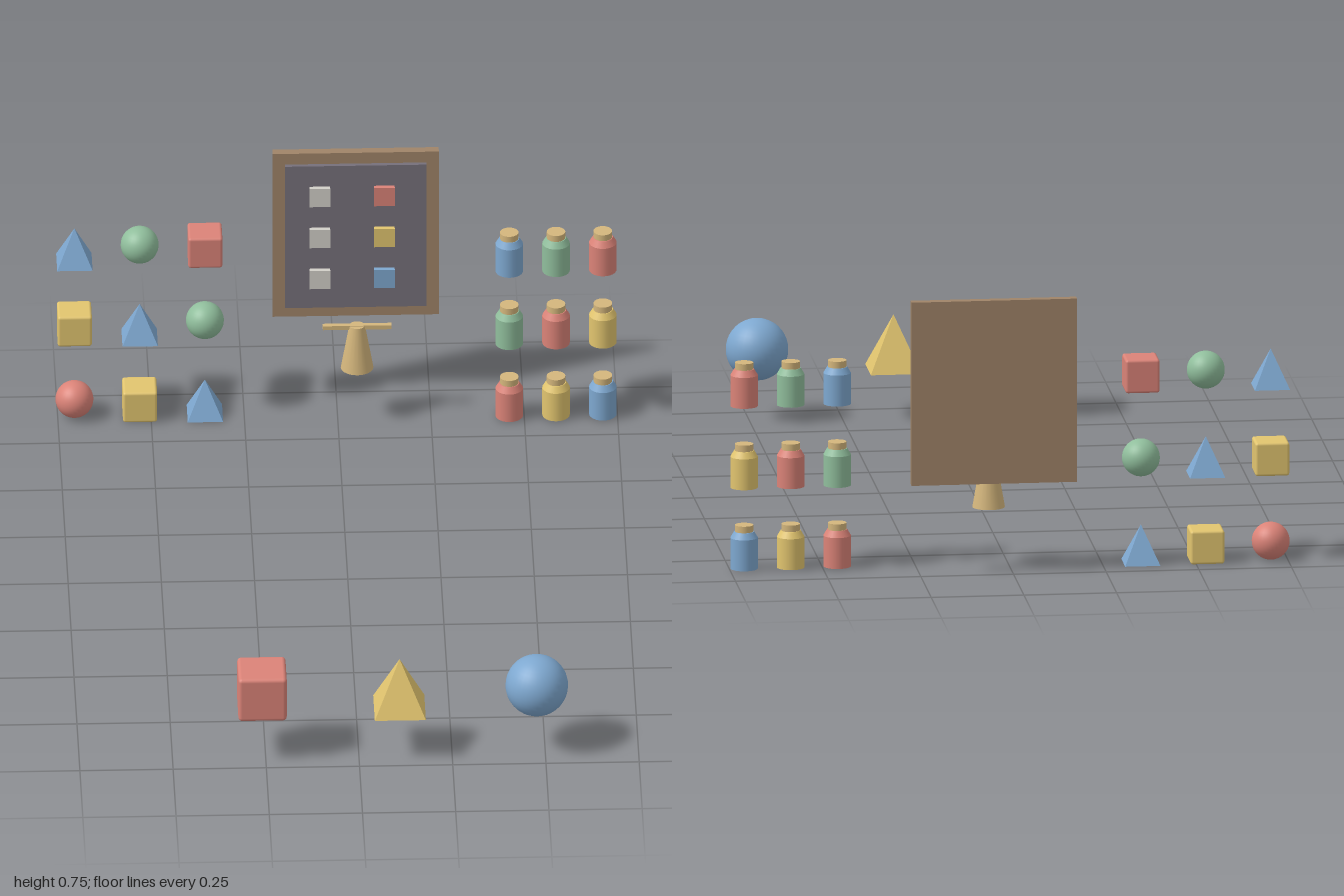
import * as THREE from 'three';
import { RoundedBoxGeometry } from 'three/addons/geometries/RoundedBoxGeometry.js';

const COLORS = {
  red: 0xdb8378, blue: 0x7ea8d0, green: 0x90be9c, yellow: 0xe2c56f,
  wood: 0xa08468, slate: 0x76707a, white: 0xd2d0c8, tan: 0xd4b67c,
};

function material(color, flat = false) {
  const m = new THREE.MeshStandardMaterial({ color: COLORS[color] });
  m.flatShading = flat;
  return m;
}

function addMesh(parent, name, geometry, color, x, y, z, flat = false) {
  const mesh = new THREE.Mesh(geometry, material(color, flat));
  mesh.name = name;
  mesh.position.set(x, y, z);
  parent.add(mesh);
  return mesh;
}

// Toy solids, each placed with its underside at y
const solids = {
  cube(parent, color, size, x, y, z) {
    addMesh(parent, 'cube', new RoundedBoxGeometry(size, size, size, 2, size * 0.08), color, x, y + size / 2, z);
  },
  ball(parent, color, size, x, y, z) {
    addMesh(parent, 'ball', new THREE.SphereGeometry(size / 2, 32, 20), color, x, y + size / 2, z);
  },
  pyramid(parent, color, size, x, y, z) {
    const height = size * 1.1;
    const geometry = new THREE.ConeGeometry(size / Math.SQRT2, height, 4).rotateY(Math.PI / 4);
    addMesh(parent, 'pyramid', geometry, color, x, y + height / 2, z, true);
  },
};

// Bottle with a sloping shoulder and a small cap
function addBottle(parent, color, x, y, z) {
  const bottle = new THREE.Group();
  bottle.name = 'bottle';
  bottle.position.set(x, y, z);
  addMesh(bottle, 'bottleBody', new THREE.CylinderGeometry(0.037, 0.037, 0.085, 24), color, 0, 0.0425, 0);
  addMesh(bottle, 'bottleShoulder', new THREE.CylinderGeometry(0.027, 0.037, 0.017, 24), color, 0, 0.0935, 0);
  addMesh(bottle, 'bottleCap', new THREE.CylinderGeometry(0.025, 0.025, 0.018, 24), 'tan', 0, 0.111, 0);
  parent.add(bottle);
}

export function createModel() {
  const model = new THREE.Group();
  model.name = 'shapeSortingSet';

  // Wall board with slate panel and two columns of tiles
  const board = new THREE.Group();
  board.name = 'board';
  board.position.set(0.052, 0.505, 0);
  addMesh(board, 'boardBacking', new THREE.BoxGeometry(0.446, 0.504, 0.024), 'wood', 0, 0, -0.988);
  addMesh(board, 'slatePanel', new THREE.BoxGeometry(0.38, 0.438, 0.012), 'slate', 0, 0, -0.97);
  ['red', 'yellow', 'blue'].forEach((color, i) => {
    const y = 0.128 - i * 0.127;
    addMesh(board, 'plainTile', new THREE.BoxGeometry(0.056, 0.056, 0.014), 'white', -0.097, y, -0.958);
    addMesh(board, 'colourTile', new THREE.BoxGeometry(0.056, 0.056, 0.014), color, 0.076, y, -0.958);
  });
  model.add(board);

  // Balance stand: tapered post and crossbar
  const balance = new THREE.Group();
  balance.name = 'balance';
  balance.position.set(0.052, 0, -0.862);
  addMesh(balance, 'post', new THREE.CylinderGeometry(0.021, 0.044, 0.13, 20), 'tan', 0, 0.224, 0);
  addMesh(balance, 'crossbar', new THREE.BoxGeometry(0.184, 0.012, 0.014), 'tan', 0, 0.285, 0);
  model.add(balance);

  // Three by three array of small solids
  const small = new THREE.Group();
  small.name = 'smallSolids';
  const grid = [
    [['pyramid', 'blue'], ['ball', 'green'], ['cube', 'red']],
    [['cube', 'yellow'], ['pyramid', 'blue'], ['ball', 'green']],
    [['ball', 'red'], ['cube', 'yellow'], ['pyramid', 'blue']],
  ];
  const sizes = { cube: 0.092, ball: 0.102, pyramid: 0.095 };
  grid.forEach((row, r) => row.forEach(([kind, color], c) => {
    solids[kind](small, color, sizes[kind], -0.705 + c * 0.175, [0.478, 0.241, 0.003][r], -0.897);
  }));
  model.add(small);

  // Three by three array of bottles
  const bottles = new THREE.Group();
  bottles.name = 'bottles';
  const bottleColors = [
    ['blue', 'green', 'red'],
    ['green', 'red', 'yellow'],
    ['red', 'yellow', 'blue'],
  ];
  bottleColors.forEach((row, r) => row.forEach((color, c) => {
    addBottle(bottles, color, 0.46 + c * 0.1255, [0.452, 0.228, 0.005][r], -0.858);
  }));
  model.add(bottles);

  // Large solids at the front
  const large = new THREE.Group();
  large.name = 'largeSolids';
  solids.cube(large, 'red', 0.13, -0.259, 0.132, 0.913);
  solids.pyramid(large, 'yellow', 0.137, 0.11, 0.132, 0.913);
  solids.ball(large, 'blue', 0.168, 0.478, 0.112, 0.914);
  model.add(large);

  return model;
}
